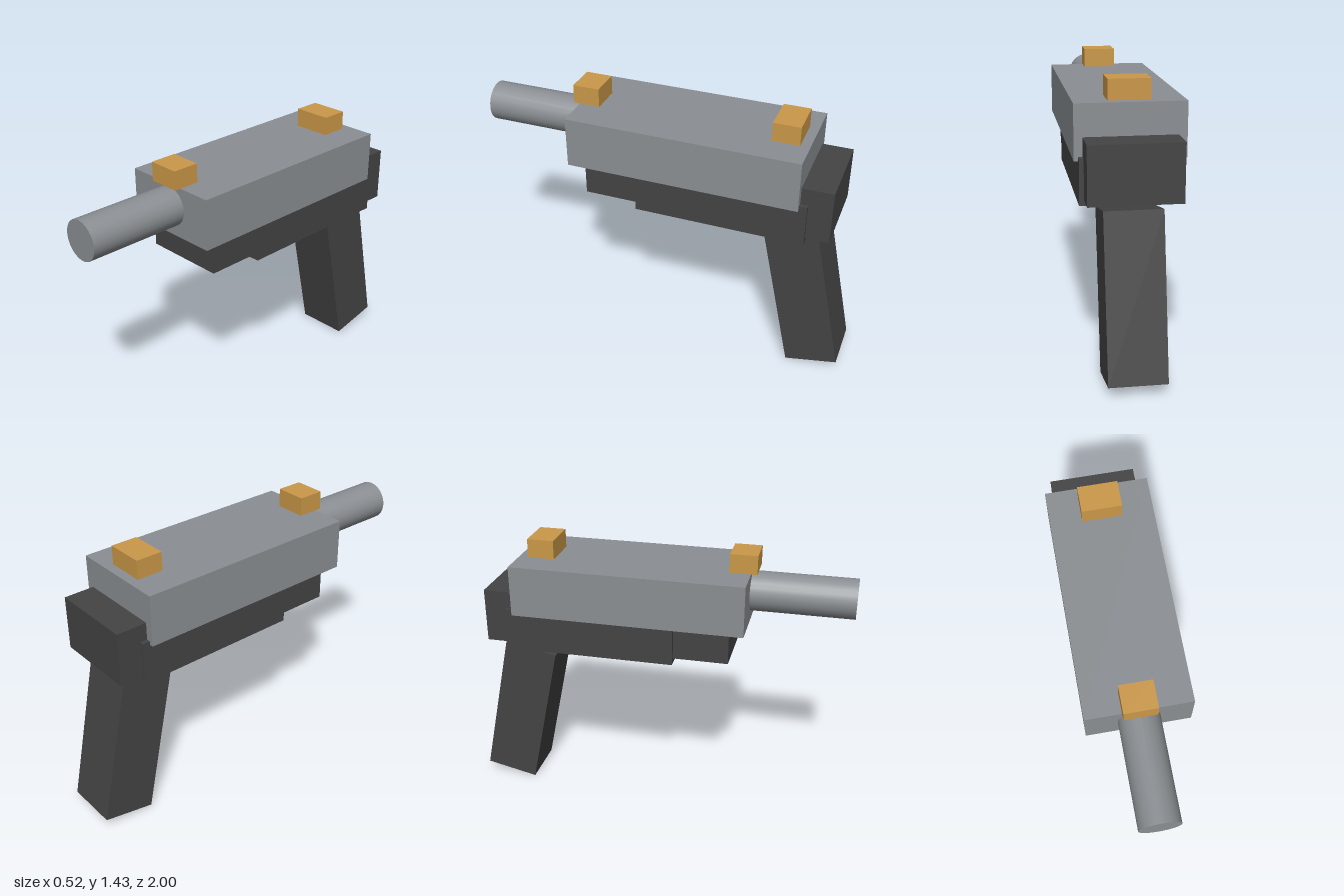
import * as THREE from 'three';

export function createModel() {
  const model = new THREE.Group();
  const mat = (name, color) => {
    const m = new THREE.MeshStandardMaterial({ color });
    m.name = name;
    return m;
  };
  const steel = mat('steel grey', 0x8b8f93);
  const dark = mat('dark grey', 0x444444);
  const brass = mat('brass', 0xcb9848);

  const add = (name, geometry, material, x, y, z) => {
    const mesh = new THREE.Mesh(geometry, material);
    mesh.name = name;
    mesh.position.set(x, y, z);
    model.add(mesh);
    return mesh;
  };
  // Box centred on x = 0, given its width and its y and z ranges
  const block = (name, material, width, y0, y1, z0, z1) =>
    add(name, new THREE.BoxGeometry(width, y1 - y0, z1 - z0), material, 0, (y0 + y1) / 2, (z0 + z1) / 2);

  // Upper body and the barrel running forward out of it
  block('slide', steel, 0.524, 1.065, 1.33, -0.737, 0.473);
  const barrel = new THREE.CylinderGeometry(0.103, 0.103, 0.9, 24).rotateX(Math.PI / 2);
  add('barrel', barrel, steel, 0, 1.215, 0.55);

  // Lower body: a long frame wrapped by a wider receiver
  block('frame', dark, 0.442, 0.893, 1.175, -0.897, 0.395);
  block('receiver', dark, 0.486, 0.865, 1.085, -0.777, 0.11);

  // Grip, leaning back towards its foot
  const grip = add('grip', new THREE.BoxGeometry(0.282, 0.811, 0.282), dark, 0, 0.426, -0.777);
  grip.rotation.x = 0.209;

  // Sights
  block('frontSight', brass, 0.165, 1.33, 1.428, 0.365, 0.505);
  block('rearSight', brass, 0.202, 1.33, 1.428, -0.687, -0.547);

  return model;
}
